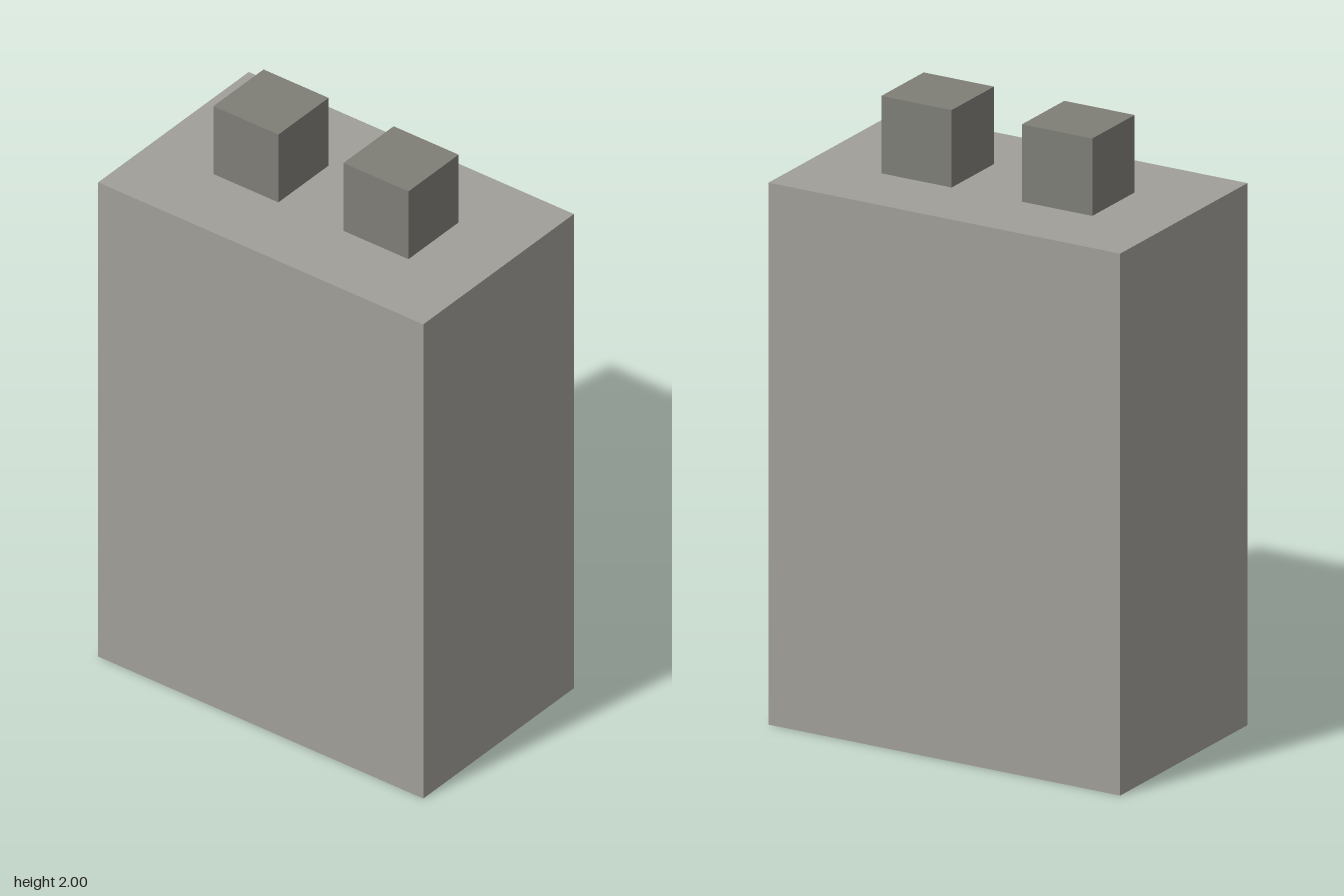
import * as THREE from 'three';

export function createModel() {
  const model = new THREE.Group();
  const bodyMaterial = new THREE.MeshStandardMaterial({ color: 0xa09f98 });
  const terminalMaterial = new THREE.MeshStandardMaterial({ color: 0x7f7e77 });

  // Adds a box standing on height y
  function addBox(name, [w, h, d], x, y, material) {
    const mesh = new THREE.Mesh(new THREE.BoxGeometry(w, h, d), material);
    mesh.name = name;
    mesh.position.set(x, y + h / 2, 0);
    model.add(mesh);
  }

  // Main block
  addBox('body', [1.25, 1.75, 0.75], 0, 0, bodyMaterial);

  // Pair of square terminals on top
  for (const side of [-1, 1]) {
    addBox(side > 0 ? 'leftTerminal' : 'rightTerminal', [0.25, 0.25, 0.25], side * 0.25, 1.75, terminalMaterial);
  }

  return model;
}
